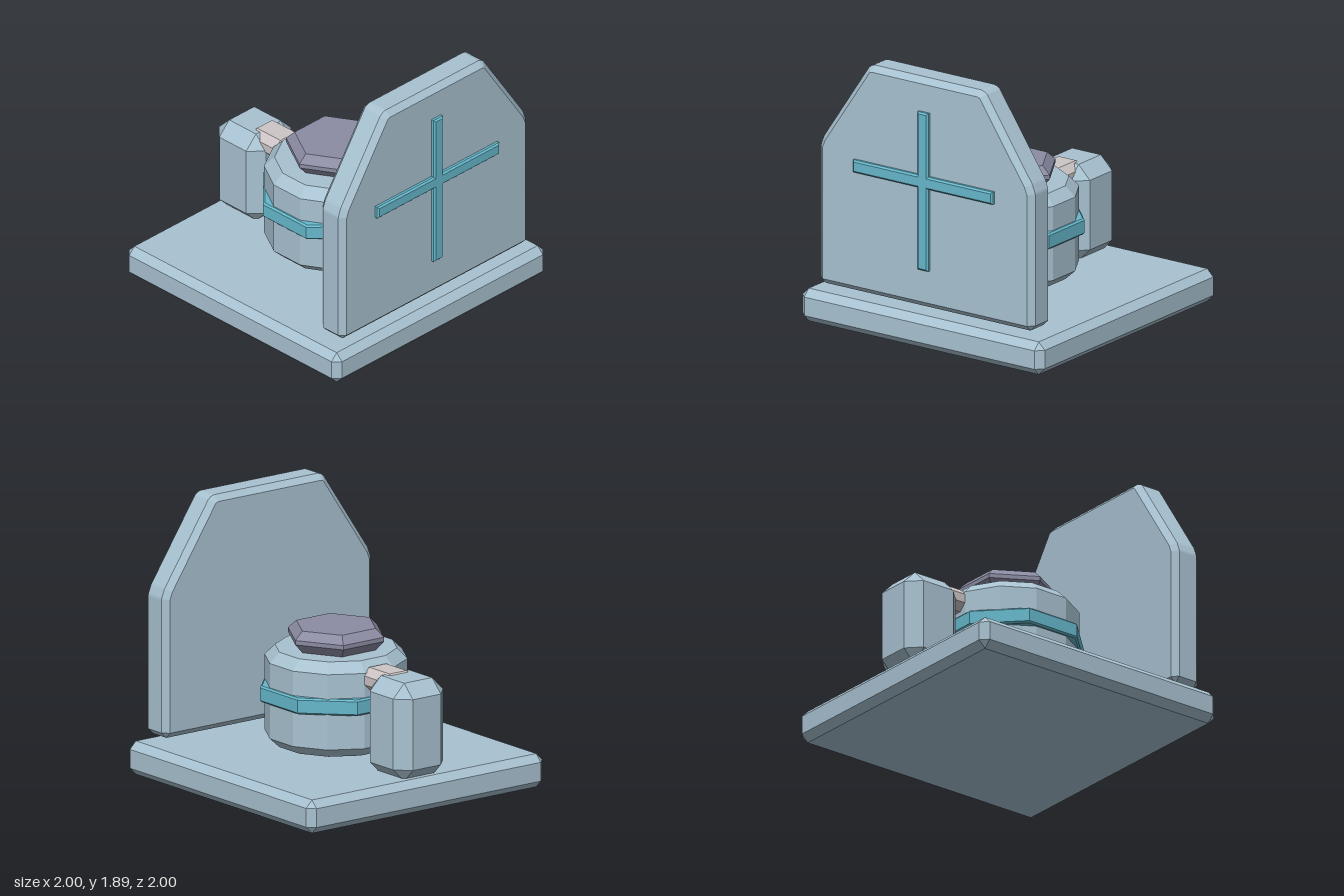
import * as THREE from 'three';

const makeMaterial = (name, color) => {
  const m = new THREE.MeshStandardMaterial({ color });
  m.name = name;
  return m;
};

// Convex faceted solid from counter-clockwise rings of [x, y] stacked along z
function loft(rings) {
  const out = [];
  const n = rings[0].pts.length;
  const at = (r, i) => [...rings[r].pts[i % n], rings[r].z];
  const last = rings.length - 1;
  for (let r = 0; r < last; r++) {
    for (let i = 0; i < n; i++) {
      const a = at(r, i), b = at(r, i + 1), c = at(r + 1, i + 1), d = at(r + 1, i);
      out.push(...a, ...b, ...c, ...a, ...c, ...d);
    }
  }
  for (let i = 1; i < n - 1; i++) {
    out.push(...at(0, 0), ...at(0, i + 1), ...at(0, i));
    out.push(...at(last, 0), ...at(last, i), ...at(last, i + 1));
  }
  const g = new THREE.BufferGeometry();
  g.setAttribute('position', new THREE.Float32BufferAttribute(out, 3));
  g.computeVertexNormals();
  return g;
}

// Prism with every edge chamfered by b; corners outline the flat front face
function chamferedPrism(corners, z0, z1, b) {
  const n = corners.length;
  const inner = [], outer = [];
  const normal = (p, q) => {
    const dx = q[0] - p[0], dy = q[1] - p[1], l = Math.hypot(dx, dy);
    return [dy / l * b, -dx / l * b];
  };
  corners.forEach((p, i) => {
    const before = normal(corners[(i + n - 1) % n], p);
    const after = normal(p, corners[(i + 1) % n]);
    for (const o of [before, after]) {
      inner.push(p);
      outer.push([p[0] + o[0], p[1] + o[1]]);
    }
  });
  return loft([
    { pts: inner, z: z0 }, { pts: outer, z: z0 + b },
    { pts: outer, z: z1 - b }, { pts: inner, z: z1 },
  ]);
}

// Chamfered box given by its minimum and maximum corners
function chamferedBox([x0, y0, z0], [x1, y1, z1], b) {
  return chamferedPrism(
    [[x0 + b, y0 + b], [x1 - b, y0 + b], [x1 - b, y1 - b], [x0 + b, y1 - b]], z0, z1, b);
}

// Upright faceted drum; profile lists [radius, y] from the bottom up
function drum(sides, turn, profile) {
  return loft(profile.map(([r, z]) => ({
    z,
    pts: Array.from({ length: sides }, (_, i) => {
      const a = turn + i * 2 * Math.PI / sides;
      return [r * Math.cos(a), r * Math.sin(a)];
    }),
  }))).rotateX(-Math.PI / 2);
}

export function createModel() {
  const steel = makeMaterial('pale steel blue', 0xa8c2d1);
  const teal = makeMaterial('teal trim', 0x66b8cc);
  const purple = makeMaterial('purple grey', 0x8b8ba3);
  const warm = makeMaterial('warm light grey', 0xcdc5c5);

  const model = new THREE.Group();
  model.name = 'shieldedDevice';
  const add = (name, geometry, material) => {
    const mesh = new THREE.Mesh(geometry, material);
    mesh.name = name;
    model.add(mesh);
  };

  // Square base plate
  add('basePlate', chamferedBox([-1, 0, -1], [1, 0.23, 1], 0.05), steel);

  // Front shield with sloping shoulders
  const half = [[0.845, 0.315], [0.845, 1.235], [0.825, 1.287], [0.455, 1.84], [0.435, 1.847]];
  const outline = [...half, ...half.map(([x, y]) => [-x, y]).reverse()];
  add('frontShield', chamferedPrism(outline, 0.715, 0.94, 0.04), steel);

  // Raised cross on the shield, edges chamfered
  const bevel = 0.012, w = 0.044 - bevel, arm = 0.577 - bevel, cy = 1.166;
  const top = 1.655 - bevel, bottom = 0.545 + bevel;
  const cross = new THREE.Shape([
    [-w, bottom], [w, bottom], [w, cy - w], [arm, cy - w], [arm, cy + w], [w, cy + w],
    [w, top], [-w, top], [-w, cy + w], [-arm, cy + w], [-arm, cy - w], [-w, cy - w],
  ].map(([x, y]) => new THREE.Vector2(x, y)));
  add('shieldCross', new THREE.ExtrudeGeometry(cross, {
    depth: 0.028, bevelEnabled: true, bevelSegments: 1, bevelSize: bevel, bevelThickness: bevel,
  }).translate(0, 0, 0.93), teal);

  // Central drum, its band and hexagonal cap
  add('drumBody', drum(12, Math.PI / 12,
    [[0.41, 0.275], [0.48, 0.34], [0.48, 0.86], [0.41, 0.93]]), steel);
  add('drumBand', drum(8, Math.PI / 8,
    [[0.513, 0.58], [0.526, 0.592], [0.526, 0.68], [0.513, 0.692]]), teal);
  add('drumCap', drum(6, 0,
    [[0.28, 0.925], [0.345, 0.995], [0.345, 1.025], [0.285, 1.08]]), purple);

  // Rear tank and the pipe joining it to the drum
  add('rearTank', chamferedBox([-0.212, 0.205, -0.98], [0.212, 0.882, -0.54], 0.094), steel);
  add('connector', chamferedBox([-0.122, 0.73, -0.72], [0.122, 0.892, -0.4], 0.05), warm);

  return model;
}
